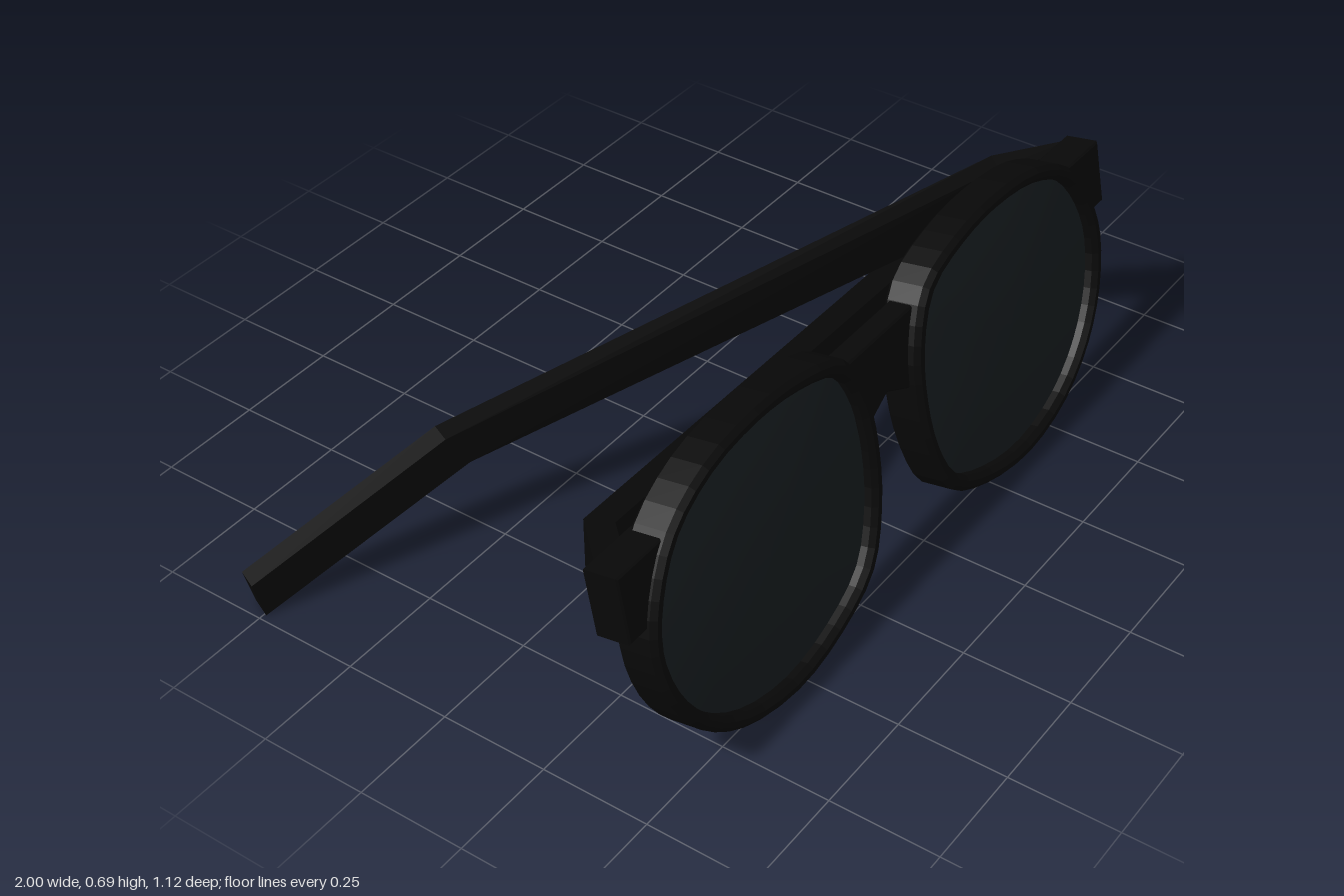
import * as THREE from 'three';
import { ParametricGeometry } from 'three/addons/geometries/ParametricGeometry.js';

const frameMat = new THREE.MeshStandardMaterial({ color: 0x080808 });
const lensMat = new THREE.MeshStandardMaterial({ color: 0x191f22, side: THREE.DoubleSide });
const MID_X = -0.11;    // middle of the bridge
const LENS_X = 0.46;    // rim centre, measured from the bridge

// Rim outline of the left lens around its own centre; the nose side (-x) is flatter
const outline = new THREE.CatmullRomCurve3([
  [-0.312, 0.27], [-0.18, 0.318], [-0.02, 0.332], [0.15, 0.31], [0.28, 0.245], [0.355, 0.14],
  [0.384, 0.03], [0.36, -0.1], [0.29, -0.21], [0.17, -0.295], [0, -0.333], [-0.17, -0.305],
  [-0.305, -0.235], [-0.365, -0.11], [-0.384, 0.03], [-0.37, 0.16],
].map(([x, y]) => new THREE.Vector3(x, y, 0)), true);

// Outline of either lens, always counter-clockwise
function outlinePoints(side, sx, sy) {
  const points = outline.getPoints(48).slice(0, -1)
    .map(p => new THREE.Vector2(p.x * side * sx, p.y * sy));
  return side > 0 ? points.reverse() : points;
}

function addMesh(parent, name, geometry, material) {
  const mesh = new THREE.Mesh(geometry, material);
  mesh.name = name;
  parent.add(mesh);
  return mesh;
}

// Slab with its front and back centred on z = 0 and a small chamfer
function slab(shape, thickness, bevel) {
  const g = new THREE.ExtrudeGeometry(shape, {
    depth: thickness - 2 * bevel, bevelEnabled: true, bevelSegments: 1,
    bevelThickness: bevel, bevelSize: bevel, bevelOffset: -bevel,
  });
  return g.translate(0, 0, bevel - thickness / 2);
}

// Bent bar swept through stations [xTop, yTop, zTop, xBottom, yBottom, zBottom]
function templeGeometry(stations, width) {
  const mids = stations.map(s => new THREE.Vector2((s[0] + s[3]) / 2, (s[2] + s[5]) / 2));
  const pos = [];
  const index = [];
  const n = stations.length;
  stations.forEach((s, i) => {
    const before = mids[i].clone().sub(mids[Math.max(i - 1, 0)]).normalize();
    const after = mids[Math.min(i + 1, n - 1)].clone().sub(mids[i]).normalize();
    const d = before.clone().add(after).normalize();
    // mitre the corner so the bar keeps its width
    const ref = after.lengthSq() > 0 ? after : before;
    const h = width / 2 / d.dot(ref);
    const ox = -d.y * h, oz = d.x * h;
    pos.push(s[0] + ox, s[1], s[2] + oz, s[0] - ox, s[1], s[2] - oz,
      s[3] - ox, s[4], s[5] - oz, s[3] + ox, s[4], s[5] + oz);
    if (i === n - 1) return;
    for (let k = 0; k < 4; k++) {
      const a = i * 4 + k, b = i * 4 + (k + 1) % 4;
      index.push(a, b + 4, b, a, a + 4, b + 4);
    }
  });
  const e = (n - 1) * 4;
  index.push(0, 1, 2, 0, 2, 3, e, e + 2, e + 1, e, e + 3, e + 2);
  const g = new THREE.BufferGeometry();
  g.setAttribute('position', new THREE.Float32BufferAttribute(pos, 3));
  g.setIndex(index);
  const flat = g.toNonIndexed();
  flat.computeVertexNormals();
  return flat;
}

export function createModel() {
  const model = new THREE.Group();
  model.name = 'sunglasses';

  // Tilted front: the bottom edge leans forward
  const front = new THREE.Group();
  front.name = 'frontFrame';
  front.position.set(MID_X, 0.355, 0.455);
  front.rotation.x = -0.18;
  model.add(front);

  for (const side of [1, -1]) {
    const label = side > 0 ? 'left' : 'right';

    // Rim with its lens opening
    const rim = new THREE.Shape(outlinePoints(side, 1, 1));
    rim.holes.push(new THREE.Path(outlinePoints(side, 0.91, 0.9)));
    addMesh(front, label + 'Rim', slab(rim, 0.095, 0.011), frameMat).position.x = side * LENS_X;

    // Gently domed lens
    const lens = new ParametricGeometry((u, v, target) => {
      const p = outline.getPoint(u % 1);
      target.set(p.x * side * v * 0.95, p.y * v * 0.95, 0.018 + 0.018 * (1 - v * v));
    }, 48, 6);
    addMesh(front, label + 'Lens', lens, lensMat).position.x = side * LENS_X;

    // Hinge block, cut along the rim on its inner side
    const block = new THREE.Shape([
      [0.885, 0.235], [0.885, 0.085], [0.815, 0.085], [0.74, 0.235],
    ].map(([x, y]) => new THREE.Vector2(side * x, y)));
    addMesh(front, label + 'HingeBlock', slab(block, 0.082, 0.004), frameMat).position.z = -0.01;
  }

  // Bridge with a shallow notch underneath
  const bridge = new THREE.Shape([
    [-0.13, 0.237], [-0.11, 0.045], [-0.085, 0.06], [0, 0.1], [0.085, 0.06], [0.11, 0.045], [0.13, 0.237],
  ].map(([x, y]) => new THREE.Vector2(x, y)));
  addMesh(front, 'bridge', slab(bridge, 0.058, 0.004), frameMat).position.z = -0.006;

  // Folded temples, crossing behind the front
  addMesh(model, 'leftTemple', templeGeometry([
    [0.75, 0.575, 0.395, 0.75, 0.445, 0.395],
    [0.655, 0.53, 0.255, 0.655, 0.41, 0.255],
    [-0.575, 0.287, -0.345, -0.53, 0.207, -0.322],
    [-0.989, 0.085, -0.534, -0.975, 0.002, -0.518],
  ], 0.052), frameMat);
  addMesh(model, 'rightTemple', templeGeometry([
    [-0.95, 0.575, 0.395, -0.95, 0.445, 0.395],
    [-0.828, 0.53, 0.275, -0.828, 0.41, 0.275],
    [0.56, 0.298, 0.116, 0.5, 0.215, 0.124],
    [0.997, 0.105, 0.083, 0.985, 0.017, 0.095],
  ], 0.058), frameMat);

  return model;
}
